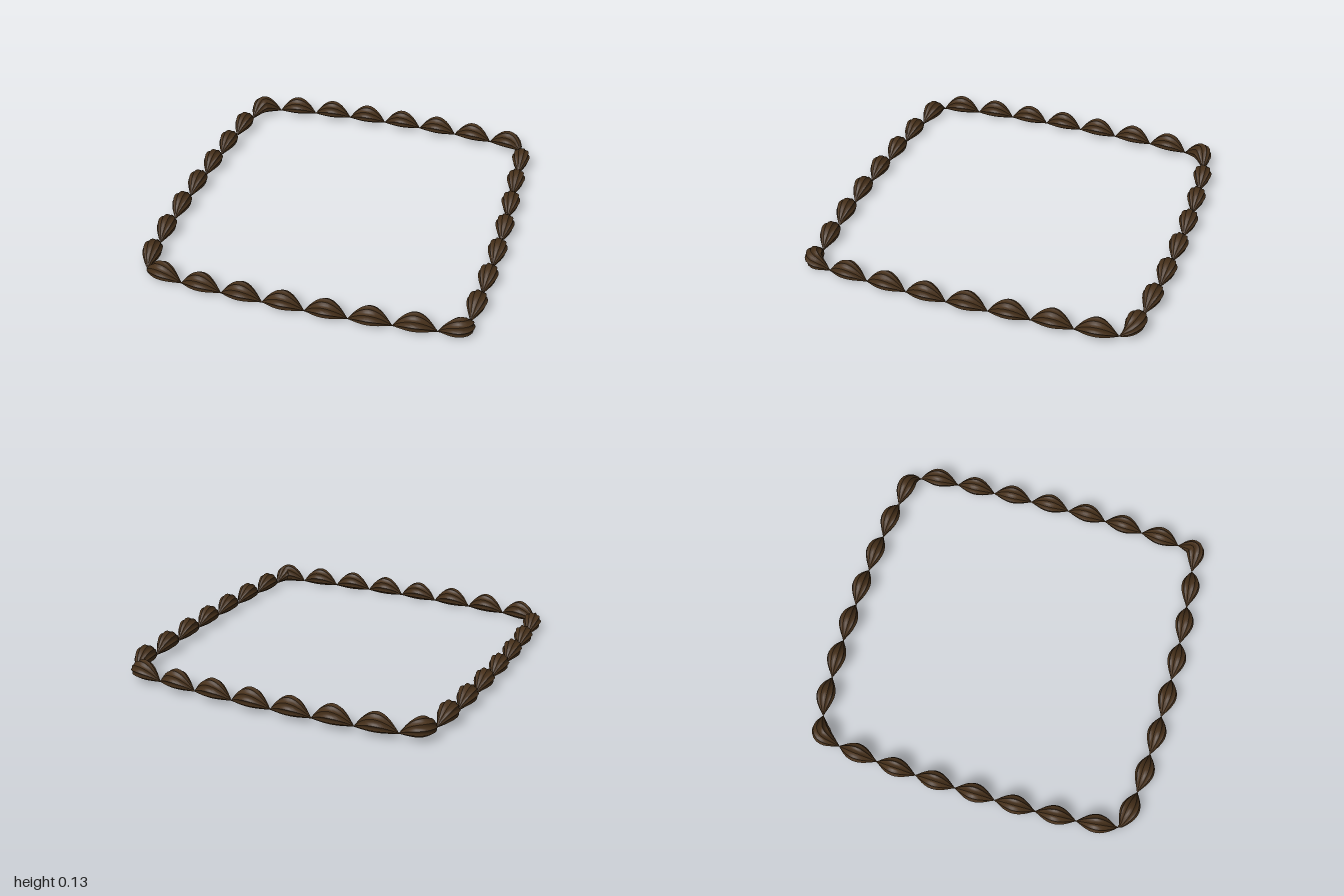
import * as THREE from 'three';
import { toCreasedNormals } from 'three/addons/utils/BufferGeometryUtils.js';

const SHELLS = 30, STEPS = 14, RIBS = 10, SIDES = RIBS * 4;
const HALF_WIDTH = 0.053, HEIGHT = 0.108;

// Hand-piped loop, a slightly uneven rounded square (x, z)
const LOOP = [
  [-0.735, -0.90], [-0.50, -0.93], [-0.05, -0.95], [0.41, -0.94], [0.645, -0.92],
  [0.825, -0.89], [0.863, -0.845], [0.90, -0.39], [0.92, 0.19], [0.895, 0.77],
  [0.88, 0.875], [0.74, 0.90], [0.28, 0.94], [-0.18, 0.945], [-0.64, 0.925],
  [-0.815, 0.895], [-0.857, 0.878], [-0.88, 0.78], [-0.91, 0.41], [-0.915, -0.05],
  [-0.90, -0.52], [-0.878, -0.745], [-0.845, -0.86],
];

// One ribbed shell: a star section swept along the path, pinched to its base at both ends
function shellGeometry(path, index) {
  const positions = [], indices = [];
  for (let i = 0; i <= STEPS; i++) {
    const t = i / STEPS;
    const u = ((index + t) / SHELLS) % 1;
    const p = path.getPointAt(u);
    const tan = path.getTangentAt(u);
    const side = new THREE.Vector3(-tan.z, 0, tan.x).normalize();
    const swell = Math.sin(Math.PI * t);
    const w = HALF_WIDTH * Math.max(swell, 0.04);
    const h = HEIGHT * 0.5 * Math.max(Math.pow(swell, 0.85), 0.04);
    const base = 0.02 - 0.013 * p.z; // the back of the loop sits a little higher
    for (let j = 0; j < SIDES; j++) {
      const a = (j / SIDES) * Math.PI * 2;
      const r = 1 - 0.16 * Math.abs(Math.sin(a * RIBS / 2));
      const s = Math.cos(a) * r * w;
      positions.push(p.x + side.x * s, base - 0.006 * swell + h * (1 + Math.sin(a) * r), p.z + side.z * s);
    }
  }
  for (let i = 0; i < STEPS; i++) {
    for (let j = 0; j < SIDES; j++) {
      const a = i * SIDES + j, b = i * SIDES + (j + 1) % SIDES;
      const c = a + SIDES, d = b + SIDES;
      indices.push(a, b, c, b, d, c);
    }
  }
  const geometry = new THREE.BufferGeometry();
  geometry.setAttribute('position', new THREE.Float32BufferAttribute(positions, 3));
  geometry.setIndex(indices);
  return toCreasedNormals(geometry, 0.6);
}

export function createModel() {
  const model = new THREE.Group();
  model.name = 'pipedBorder';
  const material = new THREE.MeshStandardMaterial({ color: 0x46301a, side: THREE.DoubleSide });
  const path = new THREE.CatmullRomCurve3(
    LOOP.map(([x, z]) => new THREE.Vector3(x, 0, z)), true, 'centripetal');
  path.arcLengthDivisions = 1200;

  for (let i = 0; i < SHELLS; i++) {
    const shell = new THREE.Mesh(shellGeometry(path, i), material);
    shell.name = `shell${i + 1}`;
    model.add(shell);
  }
  return model;
}
